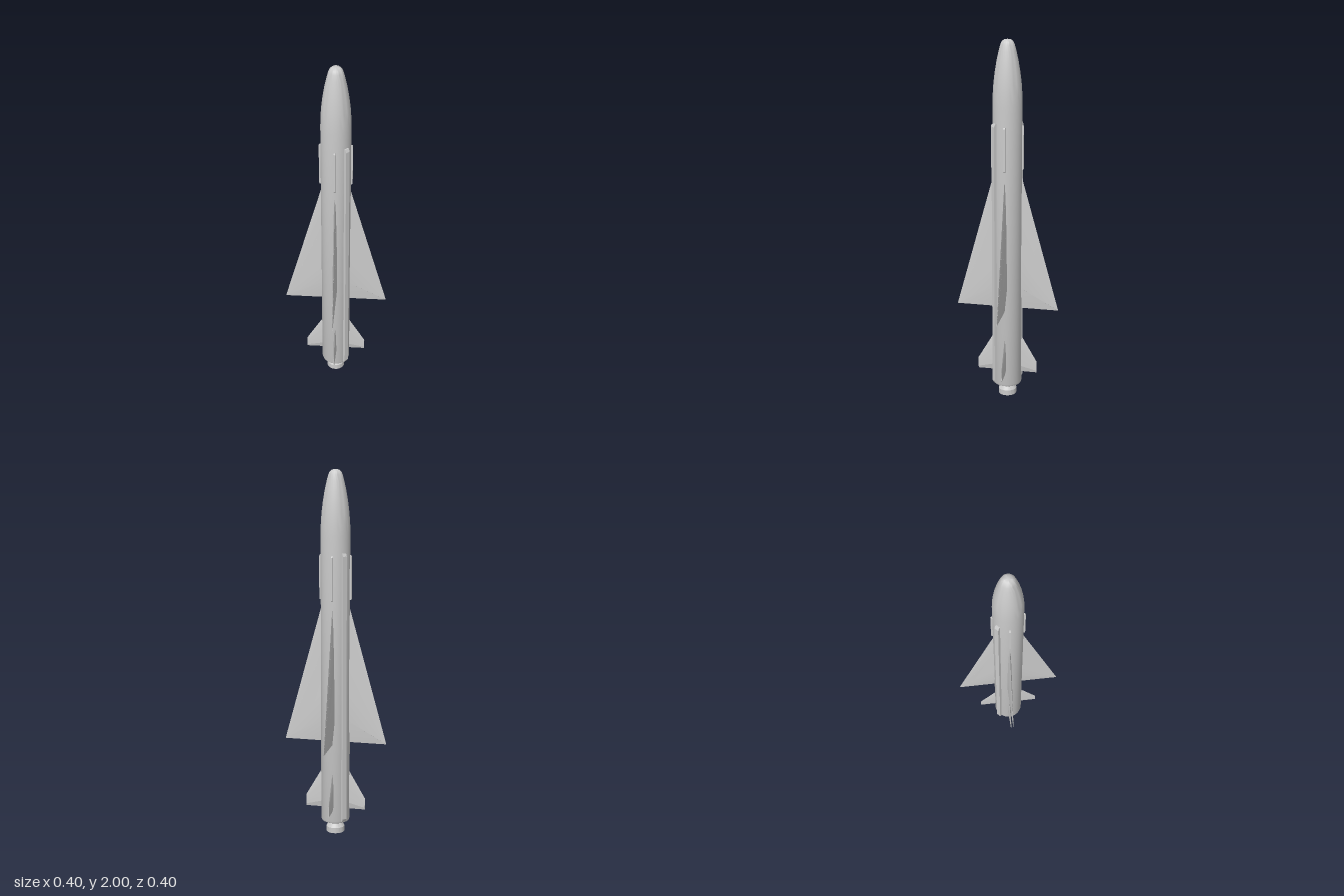
import * as THREE from 'three';
import { toCreasedNormals } from 'three/addons/utils/BufferGeometryUtils.js';

const grey = new THREE.MeshStandardMaterial({ color: 0xcccccc });

function part(name, geometry, angle = 0) {
  const mesh = new THREE.Mesh(geometry, grey);
  mesh.name = name;
  mesh.rotation.y = angle;
  return mesh;
}

// Turned part from [radius, height] pairs
function turned(points, creaseAngle) {
  const profile = points.map(([r, y]) => new THREE.Vector2(r, y));
  return toCreasedNormals(new THREE.LatheGeometry(profile, 48), creaseAngle);
}

// Long strip along the body with chamfered ends, standing out along +x
function strip(inner, outer, bottom, top, width, chamfer) {
  const shape = new THREE.Shape([
    [inner, bottom], [outer - chamfer, bottom], [outer, bottom + chamfer * 2],
    [outer, top - chamfer * 2], [outer - chamfer, top], [inner, top],
  ].map(([x, y]) => new THREE.Vector2(x, y)));
  return new THREE.ExtrudeGeometry(shape, { depth: width, bevelEnabled: false })
    .translate(0, 0, -width / 2);
}

// Fin lofted from a root to a tip section; section = [chord fraction, half thickness share]
function fin(root, tip) {
  const section = [[0, 0], [0.12, 0.45], [0.35, 0.8], [0.65, 1], [0.84, 1], [1, 0]];
  const loop = [
    ...section,
    ...section.slice(1, -1).reverse().map(([c, t]) => [c, -t]),
  ];
  const ring = ({ r, top, bottom, half }) =>
    loop.map(([c, t]) => [r, top + (bottom - top) * c, t * half]);
  const a = ring(root), b = ring(tip), n = loop.length;
  const positions = [];
  for (let i = 0; i < n; i++) {
    const j = (i + 1) % n;
    positions.push(...a[i], ...a[j], ...b[j], ...a[i], ...b[j], ...b[i]);
    // tip cap
    if (i > 0 && i < n - 1) positions.push(...b[0], ...b[i], ...b[i + 1]);
  }
  const geometry = new THREE.BufferGeometry();
  geometry.setAttribute('position', new THREE.Float32BufferAttribute(positions, 3));
  geometry.computeVertexNormals();
  return toCreasedNormals(geometry, 0.15);
}

export function createModel() {
  const model = new THREE.Group();
  model.name = 'missile';

  // Body with rounded base edge and ogive nose
  model.add(part('body', turned([
    [0, 0.065], [0.068, 0.065], [0.075, 0.069], [0.079, 0.08], [0.079, 1.66],
    [0.078, 1.71], [0.074, 1.77], [0.067, 1.83], [0.057, 1.89], [0.046, 1.94],
    [0.038, 1.97], [0.031, 1.986], [0.02, 1.996], [0, 2],
  ], 0.7)));

  // Hollow exhaust nozzle
  model.add(part('nozzle', turned([
    [0, 0.05], [0.025, 0.05], [0.043, 0.025], [0.045, 0], [0.05, 0],
    [0.05, 0.03], [0.034, 0.055], [0.032, 0.07],
  ], 0.4)));

  // Cable ducts on front and back
  const duct = strip(0.07, 0.093, 0.078, 1.565, 0.024, 0.008);
  for (const side of [1, -1]) model.add(part('cableDuct', duct, side * Math.PI / 2));

  // Strakes, wings and tail fins on the four diagonals
  const strake = strip(0.07, 0.088, 1.31, 1.55, 0.01, 0.003);
  const wing = fin(
    { r: 0.06, top: 1.335, bottom: 0.52, half: 0.013 },
    { r: 0.283, top: 0.525, bottom: 0.52, half: 0.0005 });
  const tailFin = fin(
    { r: 0.06, top: 0.385, bottom: 0.135, half: 0.009 },
    { r: 0.167, top: 0.2, bottom: 0.135, half: 0.002 });
  for (let i = 0; i < 4; i++) {
    const angle = Math.PI / 4 + i * Math.PI / 2;
    model.add(part('strake', strake, angle));
    model.add(part('wing', wing, angle));
    model.add(part('tailFin', tailFin, angle));
  }
  return model;
}
